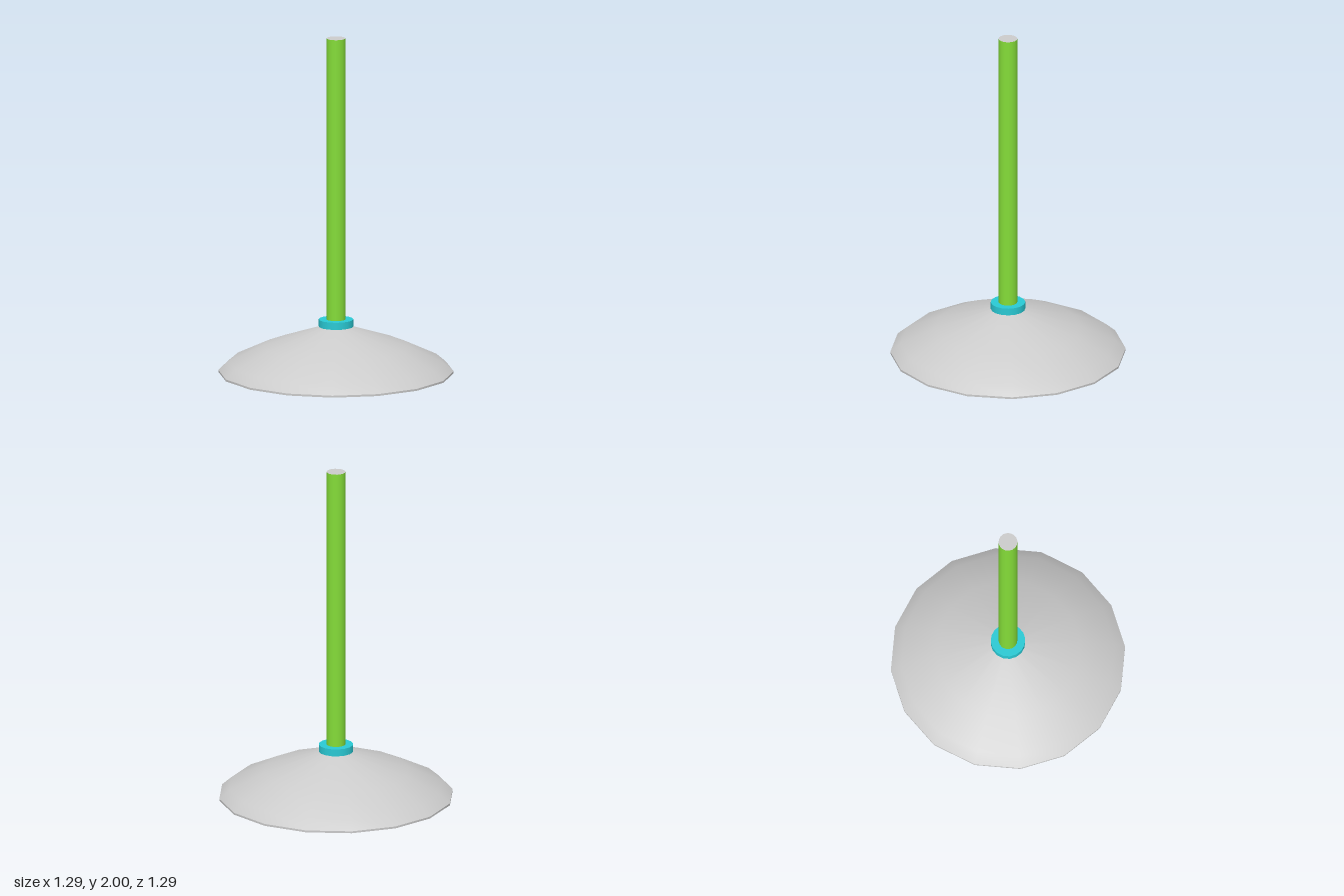
import * as THREE from 'three';
import { toCreasedNormals } from 'three/addons/utils/BufferGeometryUtils.js';

const SIDES = 16;

const material = (color) => new THREE.MeshStandardMaterial({ color });

export function createModel() {
  const model = new THREE.Group();
  model.name = 'pendantLamp';

  const add = (name, geometry, color, y = 0) => {
    const mesh = new THREE.Mesh(geometry, material(color));
    mesh.name = name;
    mesh.position.y = y;
    model.add(mesh);
    return mesh;
  };
  // Turned part: the profile runs upward along its outside
  const turned = (points, crease = 0.7) => toCreasedNormals(
    new THREE.LatheGeometry(points.map(([r, y]) => new THREE.Vector2(r, y)), SIDES), crease);

  // Rod, running through the collar down to the socket, with a plain end disc
  const rodBottom = 0.26;
  const rodLength = 2 - rodBottom;
  add('rod', new THREE.CylinderGeometry(0.052, 0.052, rodLength, SIDES, 1, true), 0x84dc38, rodBottom + rodLength / 2);
  const cap = add('rodEnd', new THREE.CircleGeometry(0.052, SIDES), 0xcccccc, 2);
  cap.rotation.x = -Math.PI / 2;

  // Collar on top of the shade
  add('collar', new THREE.CylinderGeometry(0.095, 0.095, 0.04, SIDES), 0x29c9d4, 0.4);

  // Thin shade: inner surface down to the rim, then the outer surface up
  add('shade', turned([
    [0, 0.378], [0.06, 0.368], [0.395, 0.258], [0.58, 0.168], [0.635, 0.12],
    [0.647, 0.12], [0.647, 0.131], [0.59, 0.18], [0.4, 0.27], [0.06, 0.385], [0, 0.39],
  ]), 0xcccccc);

  // Tapered socket
  add('socket', new THREE.CylinderGeometry(0.11, 0.082, 0.07, SIDES), 0xe07880, 0.235);

  // Bulb with a narrow neck and a flattened end
  add('bulb', turned([
    [0, 0], [0.05, 0.003], [0.08, 0.014], [0.095, 0.035], [0.1, 0.06],
    [0.098, 0.09], [0.09, 0.12], [0.072, 0.155], [0.056, 0.185], [0.055, 0.22],
  ], 1.2), 0xd2dc12);

  return model;
}
